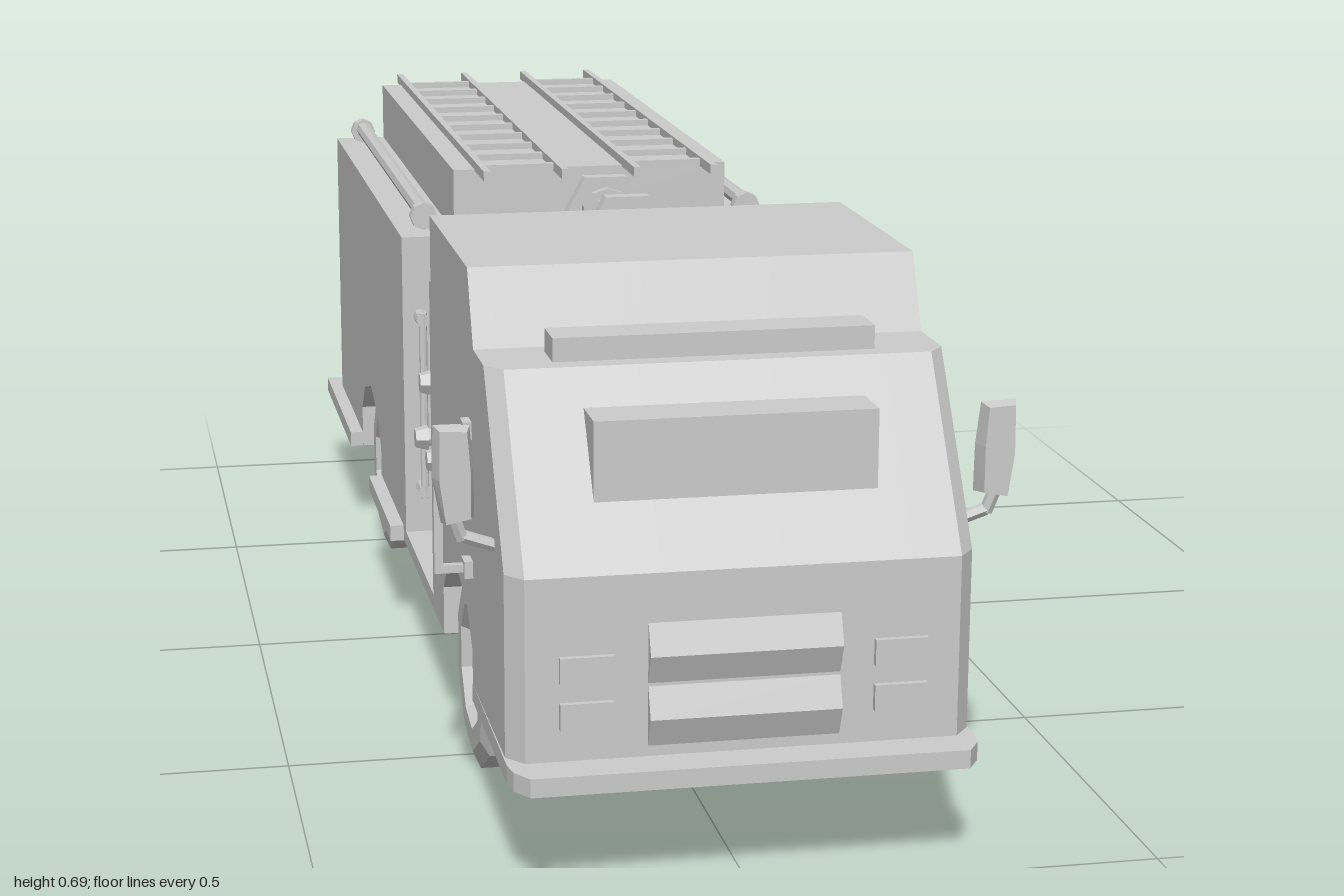
import * as THREE from 'three';
import { ConvexGeometry } from 'three/addons/geometries/ConvexGeometry.js';

const grey = new THREE.MeshStandardMaterial({ color: 0xcccccc, flatShading: true });
const smooth = new THREE.MeshStandardMaterial({ color: 0xcccccc });
const V = (x, y, z) => new THREE.Vector3(x, y, z);

export function createModel() {
  const root = new THREE.Group();
  root.name = 'fireTruck';

  const add = (name, geometry, material = grey) => {
    const mesh = new THREE.Mesh(geometry, material);
    mesh.name = name;
    root.add(mesh);
    return mesh;
  };
  // Box given by its limits on each axis
  const box = (name, x0, x1, y0, y1, z0, z1) => {
    const g = new THREE.BoxGeometry(Math.abs(x1 - x0), y1 - y0, z1 - z0);
    return add(name, g.translate((x0 + x1) / 2, (y0 + y1) / 2, (z0 + z1) / 2));
  };
  // Straight round bar between two points
  const rod = (name, a, b, r, sides = 8, r2 = r) => {
    const d = b.clone().sub(a);
    const mesh = add(name, new THREE.CylinderGeometry(r2, r, d.length(), sides));
    mesh.position.copy(a).add(b).multiplyScalar(0.5);
    mesh.quaternion.setFromUnitVectors(V(0, 1, 0), d.normalize());
    return mesh;
  };
  // Side profile of [z, y] points extruded across the width
  const profile = (points, width, steps = 1) => {
    const shape = new THREE.Shape(points.map(([z, y]) => new THREE.Vector2(z, y)));
    const g = new THREE.ExtrudeGeometry(shape, { depth: width, steps, bevelEnabled: false });
    return g.rotateY(-Math.PI / 2).translate(width / 2, 0, 0);
  };
  const arch = (z) => [[-0.135, 0.135], [-0.135, 0.2], [-0.09, 0.245], [0, 0.268],
    [0.09, 0.245], [0.135, 0.2], [0.135, 0.135]].map(([dz, y]) => [z + dz, y]);

  const frontAxle = 0.53, rearAxle = -0.47;

  // Cab with wheel arches; its front corners are chamfered
  const cab = profile([[0.285, 0.135], ...arch(frontAxle), [0.95, 0.135], [0.95, 0.38],
    [0.805, 0.593], [0.695, 0.593], [0.65, 0.685], [0.30, 0.685], [0.30, 0.595], [0.285, 0.595]], 0.56, 28);
  const p = cab.attributes.position;
  for (let i = 0; i < p.count; i++) {
    if (Math.abs(p.getX(i)) > 0.275 && p.getZ(i) > 0.79) p.setZ(i, p.getZ(i) - 0.025);
  }
  cab.computeVertexNormals();
  add('cab', cab);
  box('lightBar', -0.197, 0.197, 0.585, 0.622, 0.72, 0.778);

  // Chassis core closing the wheel wells
  box('chassisCore', -0.17, 0.17, 0.136, 0.55, -0.9, 0.9);

  // Recessed pump section and its sill
  box('pumpSection', -0.235, 0.235, 0.14, 0.595, -0.03, 0.29);
  box('pumpSill', -0.28, 0.28, 0.135, 0.156, -0.025, 0.288);

  // Rear body with raised centre
  add('rearBody', profile([[-0.94, 0.135], ...arch(rearAxle), [-0.02, 0.135],
    [-0.02, 0.595], [-0.94, 0.595]], 0.56));
  box('raisedBed', -0.2, 0.2, 0.58, 0.685, -0.939, -0.05);

  // Front bumper plate, rear step and running boards
  const bumper = new THREE.Shape([[-0.28, -0.66], [0.28, -0.66], [0.282, -0.95], [0.278, -0.975],
    [0.262, -1], [-0.262, -1], [-0.278, -0.975], [-0.282, -0.95]].map(([x, y]) => new THREE.Vector2(x, y)).reverse());
  add('bumper', new THREE.ExtrudeGeometry(bumper, { depth: 0.023, bevelEnabled: false })
    .rotateX(-Math.PI / 2).translate(0, 0.134, 0));
  box('rearStep', -0.3, 0.3, 0.134, 0.157, -1, -0.607);
  box('runningBoard', -0.3, 0.3, 0.134, 0.157, -0.333, -0.05);

  // Tapered axle housing under the rear
  const housing = [];
  for (const s of [-1, 1]) {
    housing.push(V(s * 0.08, 0.136, -0.03), V(s * 0.08, 0.136, -0.96),
      V(s * 0.062, 0.065, -0.4), V(s * 0.062, 0.065, -0.6));
  }
  add('axleHousing', new ConvexGeometry(housing));

  // Grille: two ridged bars
  for (const y of [0.17, 0.247]) {
    add('grilleBar', profile([[0.945, y], [0.951, y], [0.966, y + 0.036], [0.951, y + 0.073], [0.945, y + 0.073]], 0.23));
  }

  // Wheels: nine-sided tyres with sunken rims and domed hubs
  const tyre = new THREE.LatheGeometry([[0, -0.045], [0.112, -0.045], [0.135, -0.035], [0.135, 0.035],
    [0.112, 0.045], [0.083, 0.045], [0.066, 0.022], [0, 0.022]].map(([r, y]) => new THREE.Vector2(r, y)), 9, Math.PI)
    .rotateZ(-Math.PI / 2);
  const hub = new THREE.SphereGeometry(0.052, 20, 12).scale(0.35, 1, 1);
  const wheel = (name, x, z, outer) => {
    const g = new THREE.Group();
    g.name = name;
    g.add(new THREE.Mesh(tyre, grey));
    if (outer) {
      const dome = new THREE.Mesh(hub, smooth);
      dome.position.x = 0.022;
      g.add(dome);
    }
    g.position.set(x, 0.135, z);
    if (x < 0) g.rotation.y = Math.PI;
    root.add(g);
  };

  for (const s of [-1, 1]) {
    wheel('frontWheel', s * 0.22, frontAxle, true);
    wheel('rearOuterWheel', s * 0.22, rearAxle, true);
    wheel('rearInnerWheel', s * 0.127, rearAxle, false);

    // Headlights
    for (const y of [0.197, 0.253]) box('headlight', s * 0.156, s * 0.22, y, y + 0.032, 0.94, 0.958);

    // Door grab handle
    for (const y of [0.31, 0.487]) {
      box('handleMount', s * 0.275, s * 0.291, y - 0.011, y + 0.011, 0.65, 0.677);
      box('handleArm', s * 0.285, s * 0.326, y - 0.005, y + 0.005, 0.658, 0.669);
    }
    box('handleBar', s * 0.316, s * 0.327, 0.306, 0.491, 0.658, 0.669);

    // Mirror on a bent arm
    rod('mirrorArm', V(s * 0.27, 0.39, 0.85), V(s * 0.318, 0.408, 0.855), 0.008, 6);
    rod('mirrorArm', V(s * 0.318, 0.405, 0.855), V(s * 0.33, 0.44, 0.86), 0.008, 6);
    const rim = [[0.303, 0.43], [0.342, 0.424], [0.352, 0.48], [0.351, 0.543], [0.308, 0.541], [0.303, 0.49]];
    const shell = [];
    for (const [x, y] of rim) {
      shell.push(V(s * x, y, 0.852 + (y - 0.48) * 0.05),
        V(s * (0.329 + (x - 0.329) * 0.75), 0.485 + (y - 0.485) * 0.94, 0.874));
    }
    add('mirror', new ConvexGeometry(shell));

    // Pump outlets
    for (const [z, y] of [[0.065, 0.32], [0.19, 0.32], [0.125, 0.415]]) {
      rod('outletNeck', V(s * 0.23, y, z), V(s * 0.262, y, z), 0.012);
      rod('outletFlange', V(s * 0.23, y, z), V(s * 0.242, y, z), 0.02, 6);
      rod('outletCap', V(s * 0.257, y, z), V(s * 0.275, y, z), 0.019, 6, 0.014);
    }

    // Grab rail beside the pump panel
    rod('pumpRail', V(s * 0.255, 0.215, 0.012), V(s * 0.255, 0.49, 0.012), 0.006);
    for (const y of [0.225, 0.48]) {
      rod('pumpRailMount', V(s * 0.255, y, -0.025), V(s * 0.255, y, 0.017), 0.01);
    }

    // Rail along the rear body shelf
    rod('sideRail', V(s * 0.24, 0.618, -0.085), V(s * 0.24, 0.618, -0.895), 0.012);
    for (const z of [-0.085, -0.895]) {
      rod('sideRailEnd', V(s * 0.24, 0.614, z - 0.01), V(s * 0.24, 0.614, z + 0.01), 0.02);
    }

    // Roof ladder
    for (const x of [0.052, 0.164]) box('ladderRail', s * (x - 0.005), s * (x + 0.005), 0.683, 0.697, -0.985, 0.04);
    for (let i = 0; i < 10; i++) {
      const z = -0.895 + i * 0.0955;
      box('ladderRung', s * 0.052, s * 0.164, 0.684, 0.694, z - 0.006, z + 0.006);
    }

    // Tail latch
    box('tailLatch', s * 0.088, s * 0.112, 0.345, 0.355, -0.95, -0.935);
  }

  // Hose reel between two tapered stands
  const stand = new THREE.Shape([[-0.07, 0.59], [0.07, 0.59], [0.07, 0.615], [0.03, 0.69], [-0.03, 0.69],
    [-0.07, 0.615]].map(([x, y]) => new THREE.Vector2(x, y)));
  for (const z of [0.054, 0.214]) {
    add('reelStand', new THREE.ExtrudeGeometry(stand, { depth: 0.022, bevelEnabled: false }).translate(0, 0, z));
  }
  rod('reelDrum', V(0, 0.64, 0.07), V(0, 0.64, 0.22), 0.024, 10);
  for (const z of [0.074, 0.2]) rod('reelFlange', V(0, 0.64, z), V(0, 0.64, z + 0.016), 0.036, 10);

  return root;
}
